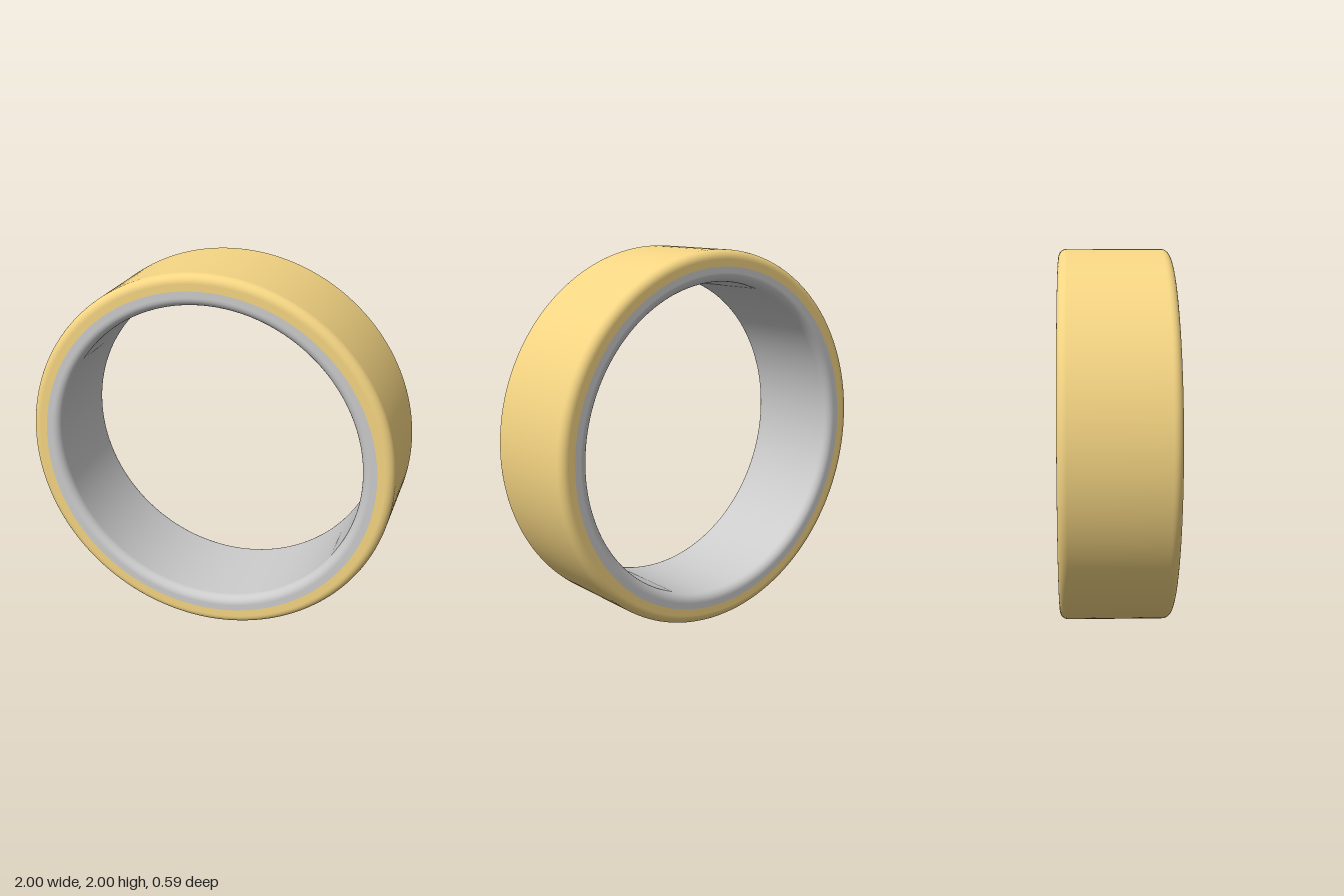
import * as THREE from 'three';

const HALF = 0.293;   // half the ring's width
const OUTER = 1;
const SEAM = 0.915;   // where the two layers meet
const INNER = 0.835;
const FILLET = 0.045;

// Quarter-round corner, with a support point just beyond each end so the flats shade flat
function corner(cx, cy, start) {
  const pts = [];
  const at = (a) => new THREE.Vector2(cx + FILLET * Math.cos(a), cy + FILLET * Math.sin(a));
  const tangent = (a) => new THREE.Vector2(-Math.sin(a), Math.cos(a)).multiplyScalar(0.002);
  const end = start + Math.PI / 2;
  pts.push(at(start).sub(tangent(start)));
  for (let i = 0; i <= 10; i++) pts.push(at(start + (i / 10) * (Math.PI / 2)));
  pts.push(at(end).add(tangent(end)));
  return pts;
}

// Revolve a profile and turn its axis to face the front
function layer(name, profile, color) {
  const geometry = new THREE.LatheGeometry(profile, 160);
  geometry.rotateX(Math.PI / 2);
  const mesh = new THREE.Mesh(geometry, new THREE.MeshStandardMaterial({ color }));
  mesh.name = name;
  mesh.position.y = OUTER;
  return mesh;
}

export function createModel() {
  const ring = new THREE.Group();
  ring.name = 'ring';
  const edge = HALF - FILLET;

  // Gold outer band: out along one rim, across the outside, back along the other rim
  ring.add(layer('outerBand', [
    new THREE.Vector2(SEAM, -HALF),
    ...corner(OUTER - FILLET, -edge, -Math.PI / 2),
    ...corner(OUTER - FILLET, edge, 0),
    new THREE.Vector2(SEAM, HALF),
  ], 0xf5d583));

  // Grey lining: the same rounded profile facing the bore
  ring.add(layer('innerLining', [
    new THREE.Vector2(SEAM, HALF),
    ...corner(INNER + FILLET, edge, Math.PI / 2),
    ...corner(INNER + FILLET, -edge, Math.PI),
    new THREE.Vector2(SEAM, -HALF),
  ], 0xcccccc));

  return ring;
}
